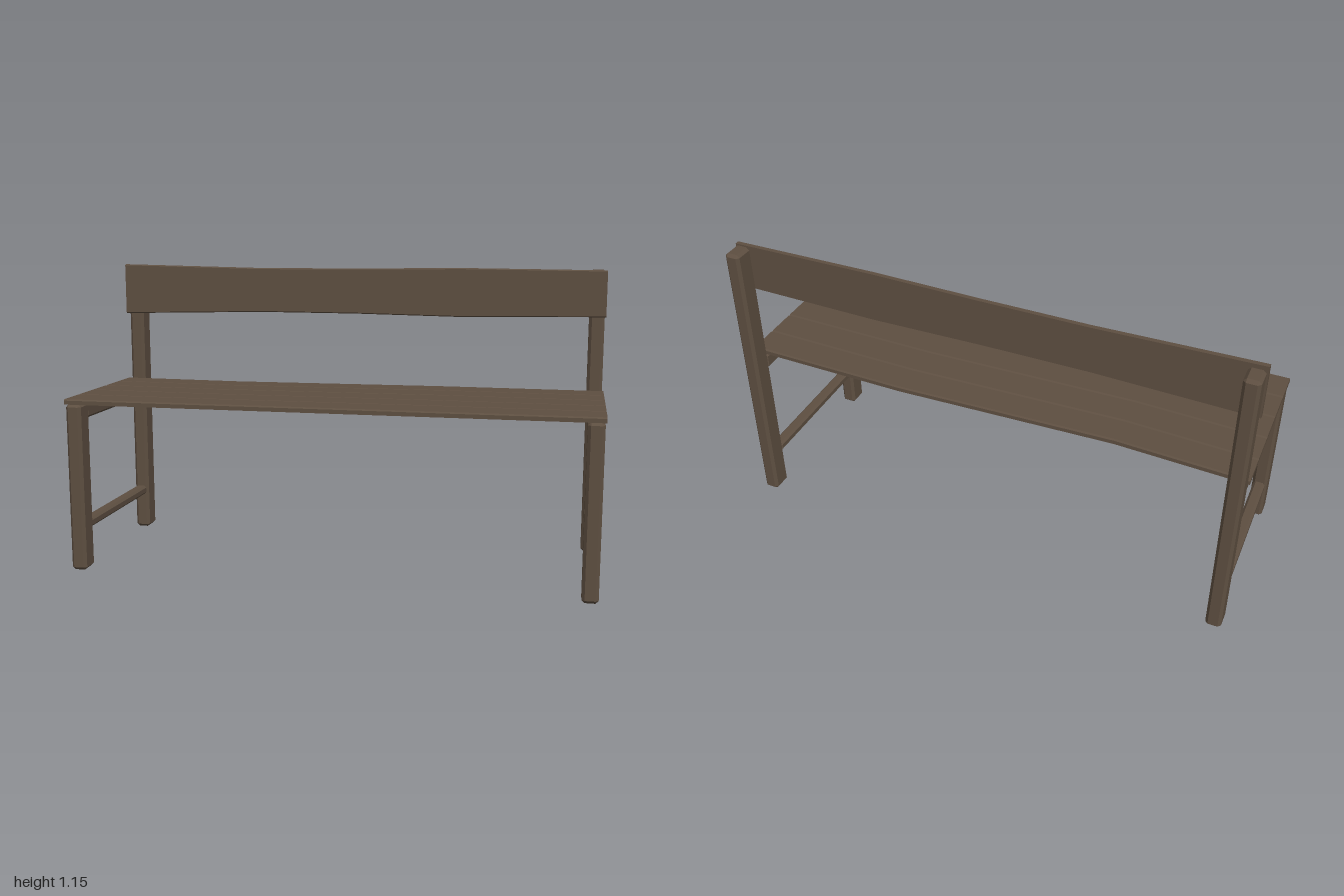
import * as THREE from 'three';
import { ConvexGeometry } from 'three/addons/geometries/ConvexGeometry.js';

const wood = new THREE.MeshStandardMaterial({ color: 0x5e4f41 });
wood.name = 'brown wood';

function addMesh(parent, name, geometry) {
  const mesh = new THREE.Mesh(geometry, wood);
  mesh.name = name;
  parent.add(mesh);
  return mesh;
}

// Beam with all edges chamfered, given by its min and max corners
function beam(min, max, c) {
  const lo = new THREE.Vector3(...min), hi = new THREE.Vector3(...max);
  const mid = lo.clone().add(hi).multiplyScalar(0.5);
  const h = hi.clone().sub(lo).multiplyScalar(0.5);
  const pts = [];
  for (const x of [-1, 1]) for (const y of [-1, 1]) for (const z of [-1, 1]) {
    for (let a = 0; a < 3; a++) {
      pts.push(new THREE.Vector3(
        x * (h.x - (a === 0 ? 0 : c)),
        y * (h.y - (a === 1 ? 0 : c)),
        z * (h.z - (a === 2 ? 0 : c))).add(mid));
    }
  }
  return new ConvexGeometry(pts);
}

// Board along x, lofted from sections [x, low edge, high edge] in z; its upper edges are chamfered
function board(stations, y0, y1, c) {
  const rings = stations.map(([x, a, b]) => [
    [y0, a], [y0, b], [y1 - c, b], [y1, b - c], [y1, a + c], [y1 - c, a],
  ].map(([y, z]) => [x, y, z]));
  const pos = [];
  const tri = (p, q, r) => pos.push(...p, ...q, ...r);
  const n = 6, last = rings[rings.length - 1];
  for (let i = 0; i < rings.length - 1; i++) {
    for (let j = 0; j < n; j++) {
      const k = (j + 1) % n, A = rings[i], B = rings[i + 1];
      tri(A[j], B[j], B[k]);
      tri(A[j], B[k], A[k]);
    }
  }
  for (let j = 1; j < n - 1; j++) {
    tri(rings[0][0], rings[0][j], rings[0][j + 1]);
    tri(last[0], last[j + 1], last[j]);
  }
  const g = new THREE.BufferGeometry();
  g.setAttribute('position', new THREE.Float32BufferAttribute(pos, 3));
  g.computeVertexNormals();
  return g;
}

export function createModel() {
  const bench = new THREE.Group();
  bench.name = 'bench';

  // End frames: legs, seat rail and low stretcher
  for (const s of [1, -1]) {
    const frame = new THREE.Group();
    frame.name = s > 0 ? 'leftFrame' : 'rightFrame';
    const span = (a, b) => (s > 0 ? [a, b] : [-b, -a]);
    const [l0, l1] = span(0.935, 0.995);
    const [r0, r1] = span(0.942, 0.988);
    addMesh(frame, 'frontLeg', beam([l0, 0, 0.285], [l1, 0.648, 0.368], 0.011));
    addMesh(frame, 'backLeg', beam([l0, 0, -0.368], [l1, 1.143, -0.284], 0.011));
    addMesh(frame, 'seatRail', beam([r0, 0.584, -0.288], [r1, 0.647, 0.288], 0.009));
    addMesh(frame, 'stretcher', beam([r0, 0.15, -0.288], [r1, 0.187, 0.288], 0.009));
    bench.add(frame);
  }

  // Seat planks meeting along gently wavy seams
  const xs = [-1, -0.5, 0.35, 1];
  const seams = [
    [-0.275, -0.254, -0.284, -0.276],
    [-0.156, -0.136, -0.163, -0.152],
    [-0.028, -0.012, -0.033, -0.024],
    [0.1, 0.113, 0.098, 0.105],
    [0.232, 0.238, 0.229, 0.234],
    [0.364, 0.364, 0.364, 0.364],
  ];
  const seat = new THREE.Group();
  seat.name = 'seat';
  for (let i = 0; i < 5; i++) {
    const stations = xs.map((x, k) => [x, seams[i][k], seams[i + 1][k]]);
    addMesh(seat, 'seatPlank' + (i + 1), board(stations, 0.647, 0.667, 0.005));
  }
  bench.add(seat);

  // Backrest board with uneven edges, stood upright against the back legs
  const back = [
    [-1, -1.153, -0.946], [-0.4, -1.141, -0.96], [0, -1.142, -0.959],
    [0.43, -1.147, -0.952], [1, -1.142, -0.96],
  ];
  const rest = addMesh(bench, 'backrest', board(back, -0.285, -0.264, 0.004));
  rest.rotation.x = Math.PI / 2;

  return bench;
}
